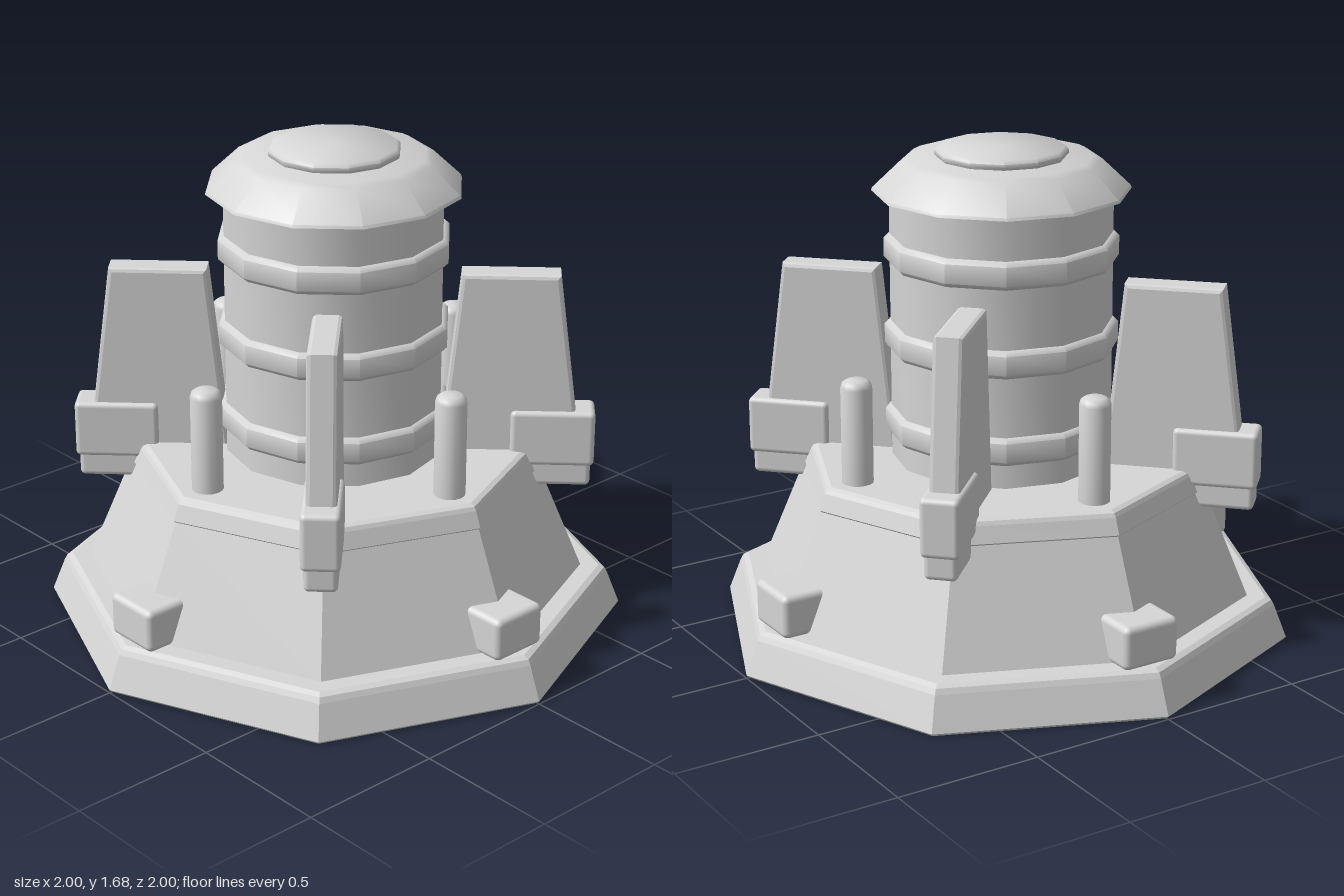
import * as THREE from 'three';
import { toCreasedNormals } from 'three/addons/utils/BufferGeometryUtils.js';
import { RoundedBoxGeometry } from 'three/addons/geometries/RoundedBoxGeometry.js';

export function createModel() {
  const model = new THREE.Group();
  model.name = 'pylon';
  const grey = new THREE.MeshStandardMaterial({ color: 0xd6d6d6 });
  grey.name = 'plain grey';

  const add = (name, geometry, parent = model) => {
    const mesh = new THREE.Mesh(geometry, grey);
    mesh.name = name;
    parent.add(mesh);
    return mesh;
  };

  // Faceted solid of revolution; profile runs from bottom to top
  const turned = (name, profile, sides, crease, parent) => {
    const points = profile.map(([r, y]) => new THREE.Vector2(r, y));
    return add(name, toCreasedNormals(new THREE.LatheGeometry(points, sides), crease), parent);
  };

  // Octagonal plinth in three tiers, flat faces
  const FLAT = 0.1;
  turned('basePlate', [[0, 0], [0.99, 0], [1, 0.01], [0.955, 0.125], [0.945, 0.143], [0.925, 0.152], [0, 0.152]], 8, FLAT);
  turned('plinth', [[0, 0.14], [0.866, 0.14], [0.7, 0.54], [0, 0.54]], 8, FLAT);
  turned('deck', [[0, 0.525], [0.7, 0.525], [0.711, 0.535], [0.69, 0.59], [0.682, 0.603], [0.665, 0.61], [0, 0.61]], 8, FLAT);

  // Twelve-sided column with softly shaded sides
  const SOFT = 0.56;
  const ROUND = 0.85;
  turned('column', [[0, 0.6], [0.375, 0.6], [0.375, 1.54], [0, 1.54]], 12, SOFT);
  for (const y of [0.692, 0.992, 1.292]) {
    turned('columnBand', [[0.36, y], [0.38, y], [0.395, y + 0.015], [0.395, y + 0.08], [0.38, y + 0.095], [0.36, y + 0.095]], 12, ROUND);
  }
  turned('cap', [[0, 1.535], [0.434, 1.535], [0.43, 1.545], [0.335, 1.635], [0.31, 1.648], [0, 1.648]], 12, SOFT);
  turned('capDisc', [[0, 1.64], [0.21, 1.64], [0.223, 1.655], [0.223, 1.668], [0.212, 1.68], [0, 1.68]], 12, ROUND);

  // Tapered fin outline: x is distance from the axis
  const bevel = 0.014;
  const outline = new THREE.Shape([
    [0.37, 0.57], [0.833, 0.57], [0.745, 1.232], [0.439, 1.232],
  ].map(([x, y]) => new THREE.Vector2(x, y)));
  const thickness = 0.1;
  const finGeometry = toCreasedNormals(new THREE.ExtrudeGeometry(outline, {
    depth: thickness - 2 * bevel, bevelSize: bevel, bevelThickness: bevel, bevelSegments: 2,
  }).translate(0, 0, bevel - thickness / 2), 0.3);

  const block = (name, size, at, radius, parent) =>
    add(name, new RoundedBoxGeometry(...size, 3, radius), parent).position.set(...at);

  for (let i = 0; i < 4; i++) {
    // Diagonal fin with its clamp
    const finGroup = new THREE.Group();
    finGroup.name = 'finAssembly';
    finGroup.rotation.y = Math.PI / 4 + i * Math.PI / 2;
    add('fin', finGeometry, finGroup);
    block('finClamp', [0.288, 0.2, 0.13], [0.745, 0.657, 0], 0.018, finGroup);
    block('finClampFoot', [0.21, 0.13, 0.11], [0.773, 0.545, 0], 0.018, finGroup);
    model.add(finGroup);

    // Rod on the deck and foot block on the base plate
    const sideGroup = new THREE.Group();
    sideGroup.name = 'sideAssembly';
    sideGroup.rotation.y = i * Math.PI / 2;
    const rod = turned('rod', [[0, 0.6], [0.053, 0.6], [0.053, 0.94], [0.048, 0.956], [0.035, 0.965], [0, 0.967]], 16, ROUND, sideGroup);
    rod.position.x = 0.565;
    block('footBlock', [0.2, 0.15, 0.208], [0.807, 0.225, 0], 0.022, sideGroup);
    model.add(sideGroup);
  }
  return model;
}
